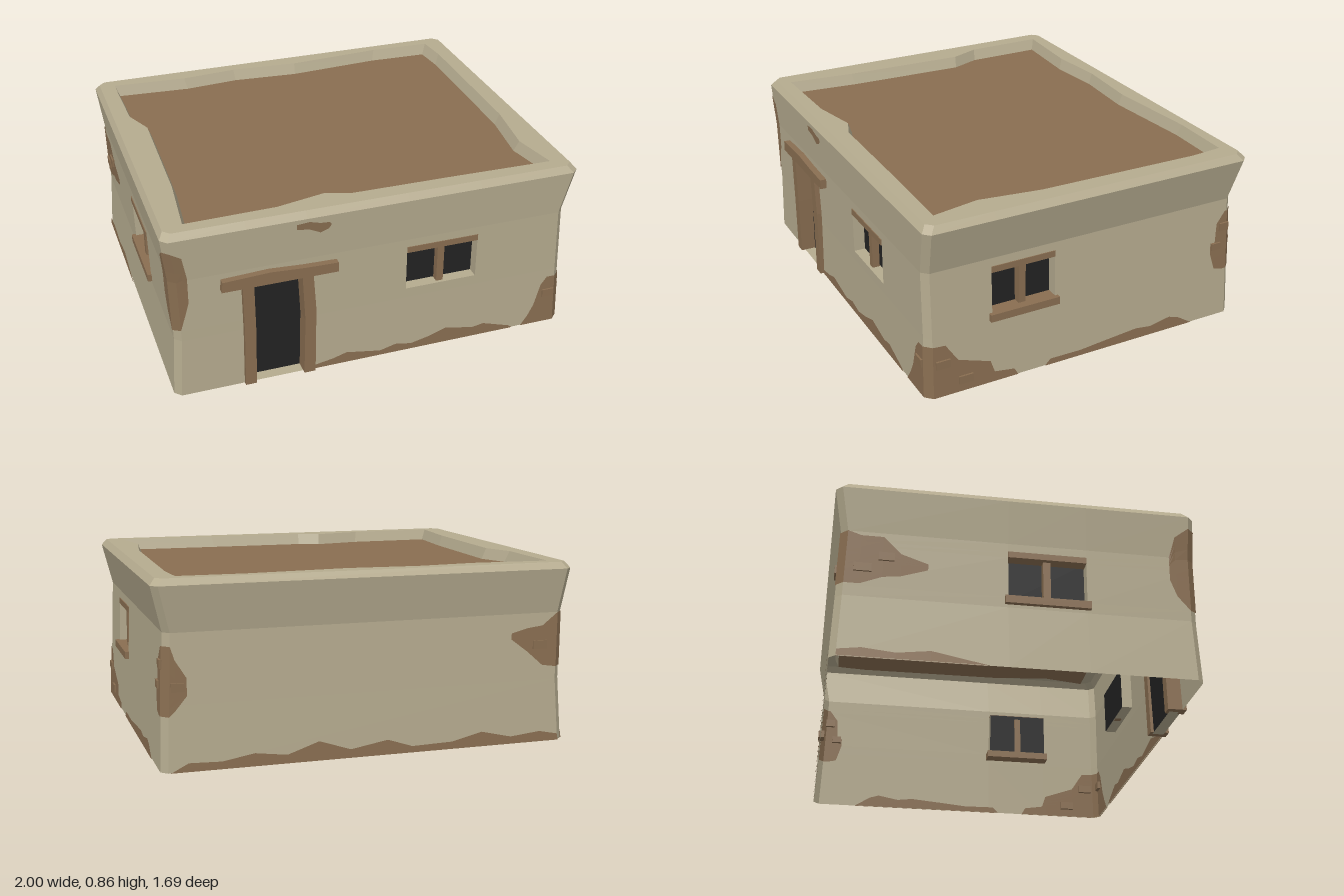
import * as THREE from 'three';

const mat = (name, color) => {
  const m = new THREE.MeshStandardMaterial({ color, side: THREE.DoubleSide });
  m.name = name;
  return m;
};

// Wall extents at each height: +x, -x, front, back
const LEVELS = [
  [0, 0.972, 0.978, 0.815, 0.835], [0.3, 0.96, 0.96, 0.81, 0.822],
  [0.62, 0.947, 0.968, 0.81, 0.81], [0.83, 1, 0.995, 0.82, 0.845],
  [0.86, 0.975, 0.975, 0.795, 0.82],
];
const CHAMFER = 0.03;
const ANGLE = { front: 0, right: Math.PI / 2, back: Math.PI, left: -Math.PI / 2 };

function extents(y) {
  let i = 0;
  while (i < LEVELS.length - 2 && y > LEVELS[i + 1][0]) i++;
  const a = LEVELS[i], b = LEVELS[i + 1], t = (y - a[0]) / (b[0] - a[0]);
  return a.map((v, k) => v + (b[k] - v) * t).slice(1);
}

// Point on a wall: u is x for front/back and z for the sides; off is outward
function wallPoint(side, u, y, off = 0) {
  const [xr, xl, zf, zb] = extents(y), c = CHAMFER;
  const x = THREE.MathUtils.clamp(u, -xl + c, xr - c);
  const z = THREE.MathUtils.clamp(u, -zb + c, zf - c);
  if (side === 'front') return new THREE.Vector3(x, y, zf + off);
  if (side === 'back') return new THREE.Vector3(x, y, -zb - off);
  if (side === 'right') return new THREE.Vector3(xr + off, y, z);
  return new THREE.Vector3(-xl - off, y, z);
}

// Faceted sheet through columns of points; skip(i, j) leaves a cell open
function sheet(columns, skip = () => false) {
  const pos = [];
  for (let i = 0; i < columns.length - 1; i++) {
    for (let j = 0; j < columns[i].length - 1; j++) {
      if (skip(i, j)) continue;
      const a = columns[i][j], b = columns[i + 1][j], c = columns[i + 1][j + 1], d = columns[i][j + 1];
      for (const p of [a, b, c, a, c, d]) pos.push(p.x, p.y, p.z);
    }
  }
  const g = new THREE.BufferGeometry();
  g.setAttribute('position', new THREE.Float32BufferAttribute(pos, 3));
  g.computeVertexNormals();
  return g;
}

export function createModel() {
  const model = new THREE.Group();
  model.name = 'mudBrickHouse';
  const plaster = mat('plaster', 0xb5ab8f);
  const brown = mat('brownEarth', 0x896e51);
  const dark = mat('darkOpening', 0x222222);

  const add = (name, geo, material) => {
    const m = new THREE.Mesh(geo, material);
    m.name = name;
    model.add(m);
    return m;
  };
  // Box set on a wall, reaching from off0 to off1 outward
  const wallBox = (name, side, u0, u1, y0, y1, off0, off1, material = brown) => {
    const m = add(name, new THREE.BoxGeometry(u1 - u0, y1 - y0, off1 - off0), material);
    m.position.copy(wallPoint(side, (u0 + u1) / 2, (y0 + y1) / 2, (off0 + off1) / 2));
    m.rotation.y = ANGLE[side];
  };

  // Outer walls with openings and chamfered corners
  const holes = [
    { side: 'front', u0: -0.62, u1: -0.34, y0: 0, y1: 0.55 },
    { side: 'front', u0: 0.145, u1: 0.5, y0: 0.35, y1: 0.575 },
    { side: 'right', u0: 0.165, u1: 0.485, y0: 0.35, y1: 0.575 },
    { side: 'left', u0: -0.06, u1: 0.3, y0: 0.35, y1: 0.575 },
  ];
  const ys = [0, 0.3, 0.35, 0.55, 0.575, 0.62, 0.83, 0.86];
  const stations = [
    ...[-9, -0.62, -0.34, 0.145, 0.5, 9].map(u => ['front', u]),
    ...[9, 0.485, 0.165, -9].map(u => ['right', u]),
    ...[9, -9].map(u => ['back', u]),
    ...[-9, -0.06, 0.3, 9].map(u => ['left', u]),
    ['front', -9],
  ];
  add('walls', sheet(stations.map(([s, u]) => ys.map(y => wallPoint(s, u, y))), (i, j) => {
    const [s, u] = stations[i], [s2, u2] = stations[i + 1];
    const um = (u + u2) / 2, ym = (ys[j] + ys[j + 1]) / 2;
    return s === s2 && holes.some(h => h.side === s && um > h.u0 && um < h.u1 && ym > h.y0 && ym < h.y1);
  }), plaster);

  // Parapet top, sloping inner face and sunken roof
  const inner = [
    [-0.9, -0.76], [-0.53, -0.735], [-0.25, -0.76], [0.09, -0.735], [0.57, -0.77], [0.88, -0.76],
    [0.895, -0.6], [0.885, 0.2], [0.845, 0.5], [0.89, 0.73], [0.4, 0.72], [-0.1, 0.715],
    [-0.21, 0.675], [-0.45, 0.725], [-0.88, 0.735], [-0.85, 0.4], [-0.835, -0.22], [-0.895, -0.37],
  ];
  const outline = (k, y) => inner.map(([x, z]) => new THREE.Vector3(x * k, y, z * k));
  const flat = pts => pts.map(p => new THREE.Vector2(p.x, -p.z));
  const rimPoints = ['front', 'right', 'back', 'left'].flatMap(s => {
    const d = s === 'front' || s === 'left' ? -9 : 9;
    return [wallPoint(s, d, 0.86), wallPoint(s, -d, 0.86)];
  });
  const rim = new THREE.Shape(flat(rimPoints));
  rim.holes.push(new THREE.Path(flat(outline(1, 0))));
  add('parapetTop', new THREE.ShapeGeometry(rim).rotateX(-Math.PI / 2).translate(0, 0.86, 0), plaster);
  const top = outline(1, 0.86), low = outline(0.975, 0.805);
  add('parapetInside', sheet([...top, top[0]].map((p, i) => [p, low[i % low.length]])), plaster);
  add('roof', new THREE.ShapeGeometry(new THREE.Shape(flat(low))).rotateX(-Math.PI / 2).translate(0, 0.805, 0), brown);

  // Recesses with dark backs
  const depth = 0.055;
  for (const { side, u0, u1, y0, y1 } of holes) {
    const loop = [[u0, y0], [u1, y0], [u1, y1], [u0, y1], [u0, y0]];
    add('reveal', sheet(loop.map(([u, y]) => [wallPoint(side, u, y), wallPoint(side, u, y, -depth)])), plaster);
    const flip = side === 'right' ? [u1, u0] : [u0, u1];
    add('darkPane', sheet(flip.map(u => [y0, y1].map(y => wallPoint(side, u, y, -depth)))), dark);
  }

  // Window timbers
  for (const { side, u0, u1 } of holes.slice(1)) {
    const mid = (u0 + u1) / 2, sideWall = side !== 'front';
    wallBox('windowLintel', side, u0, u1, 0.55, 0.58, -0.05, 0.004);
    wallBox('windowMullion', side, mid - 0.017, mid + 0.017, 0.35, 0.555, sideWall ? -0.065 : -0.05, -0.015);
    if (sideWall) wallBox('windowSill', side, u0 - 0.015, u1 + 0.015, 0.315, 0.352, -0.07, 0.02);
  }

  // Door frame of crooked timbers
  const timber = (name, pts, z0, z1) => {
    const shape = new THREE.Shape(pts.map(p => new THREE.Vector2(...p)));
    add(name, new THREE.ExtrudeGeometry(shape, { depth: z1 - z0, bevelEnabled: false }).translate(0, 0, z0), brown);
  };
  timber('doorPostLeft', [[-0.65, 0], [-0.597, 0], [-0.592, 0.3], [-0.595, 0.55], [-0.648, 0.55], [-0.645, 0.3]], 0.745, 0.835);
  timber('doorPostRight', [[-0.365, 0], [-0.31, 0], [-0.305, 0.35], [-0.318, 0.55], [-0.37, 0.55], [-0.358, 0.3]], 0.745, 0.835);
  timber('doorLintel', [[-0.745, 0.54], [-0.2, 0.54], [-0.2, 0.588], [-0.36, 0.592], [-0.52, 0.602], [-0.74, 0.592]], 0.745, 0.842);

  // Bare earth patches: columns of [side, u, low, high], seen on both faces of the wall
  const patch = (name, cols) => {
    for (const off of [0.004, -0.004]) {
      add(name, sheet(cols.map(([s, u, lo, hi]) =>
        Array.from({ length: 9 }, (_, k) => wallPoint(s, u, lo + (hi - lo) * k / 8, off)))), brown);
    }
  };
  const band = (side, pts) => patch('wornBase', pts.map(([u, h]) => [side, u, 0, h]));
  band('front', [[-0.31, 0.02], [-0.22, 0.035], [-0.15, 0.055], [0.02, 0.025], [0.1, 0.045], [0.18, 0.03],
    [0.27, 0.05], [0.36, 0.08], [0.5, 0.05], [0.56, 0.06], [0.7, 0.015], [0.72, 0]]);
  band('right', [[0.22, 0], [0.19, 0.03], [0.03, 0.028], [-0.1, 0.04], [-0.28, 0.055], [-0.36, 0.045],
    [-0.47, 0.065], [-0.52, 0.05], [-0.6, 0]]);
  band('back', [[0.93, 0], [0.85, 0.04], [0.7, 0.035], [0.55, 0.06], [0.4, 0.04], [0.25, 0.09], [0.1, 0.04],
    [-0.08, 0.07], [-0.2, 0.03], [-0.4, 0.035], [-0.55, 0.07], [-0.7, 0.035], [-0.85, 0.05], [-9, 0.03]]);
  band('left', [[-9, 0.03], [-0.7, 0.045], [-0.55, 0.03], [-0.4, 0.05], [-0.25, 0.02], [-0.15, 0]]);

  patch('chippedTop', [['front', -0.39, 0.785, 0.81], ['front', -0.33, 0.775, 0.815], ['front', -0.28, 0.75, 0.8],
    ['front', -0.24, 0.765, 0.797], ['front', -0.23, 0.78, 0.79]]);
  patch('wornCornerFrontRight', [['front', -0.89, 0.5, 0.62]].slice(1).concat([
    ['front', 0.765, 0, 0], ['front', 0.8, 0, 0.05], ['front', 0.83, 0, 0.11], ['front', 0.86, 0, 0.22],
    ['front', 0.89, 0, 0.26], ['front', 9, 0, 0.26], ['right', 9, 0, 0.26], ['right', 0.72, 0, 0.255],
    ['right', 0.66, 0, 0.165], ['right', 0.5, 0, 0.11], ['right', 0.48, 0, 0.05], ['right', 0.38, 0, 0.035],
    ['right', 0.36, 0, 0]]));
  patch('wornCornerFrontLeft', [['left', 0.69, 0.5, 0.62], ['left', 0.72, 0.42, 0.72], ['left', 9, 0.35, 0.77],
    ['front', -9, 0.36, 0.77], ['front', -0.91, 0.43, 0.74], ['front', -0.89, 0.5, 0.63]]);
  patch('wornCornerBackRight', [['right', -0.695, 0.35, 0.39], ['right', -0.72, 0.27, 0.4], ['right', -0.725, 0.26, 0.5],
    ['right', -0.77, 0.25, 0.56], ['right', -9, 0.25, 0.56], ['back', 9, 0.25, 0.56], ['back', 0.9, 0.28, 0.5],
    ['back', 0.85, 0.34, 0.42]]);
  patch('wornCornerBackLeft', [['back', -0.7, 0.5, 0.53], ['back', -0.78, 0.44, 0.55], ['back', -0.86, 0.37, 0.56],
    ['back', -9, 0.36, 0.62], ['left', -9, 0.36, 0.62], ['left', -0.72, 0.36, 0.6], ['left', -0.62, 0.4, 0.6],
    ['left', -0.54, 0.41, 0.52], ['left', -0.42, 0.45, 0.48]]);

  // Exposed bricks
  const bricks = [
    ['right', 0.7, 0.77, 0.145, 0.185], ['right', 0.59, 0.66, 0.04, 0.08], ['front', 0.87, 0.93, 0.15, 0.19],
    ['right', -0.75, -0.7, 0.365, 0.4], ['back', 0.86, 0.92, 0.36, 0.4], ['right', -0.79, -0.74, 0.46, 0.5],
    ['back', -0.88, -0.81, 0.45, 0.49], ['left', -0.75, -0.67, 0.42, 0.46], ['left', -0.64, -0.57, 0.48, 0.52],
  ];
  for (const [side, u0, u1, y0, y1] of bricks) wallBox('brick', side, u0, u1, y0, y1, -0.02, 0.012);
  return model;
}
